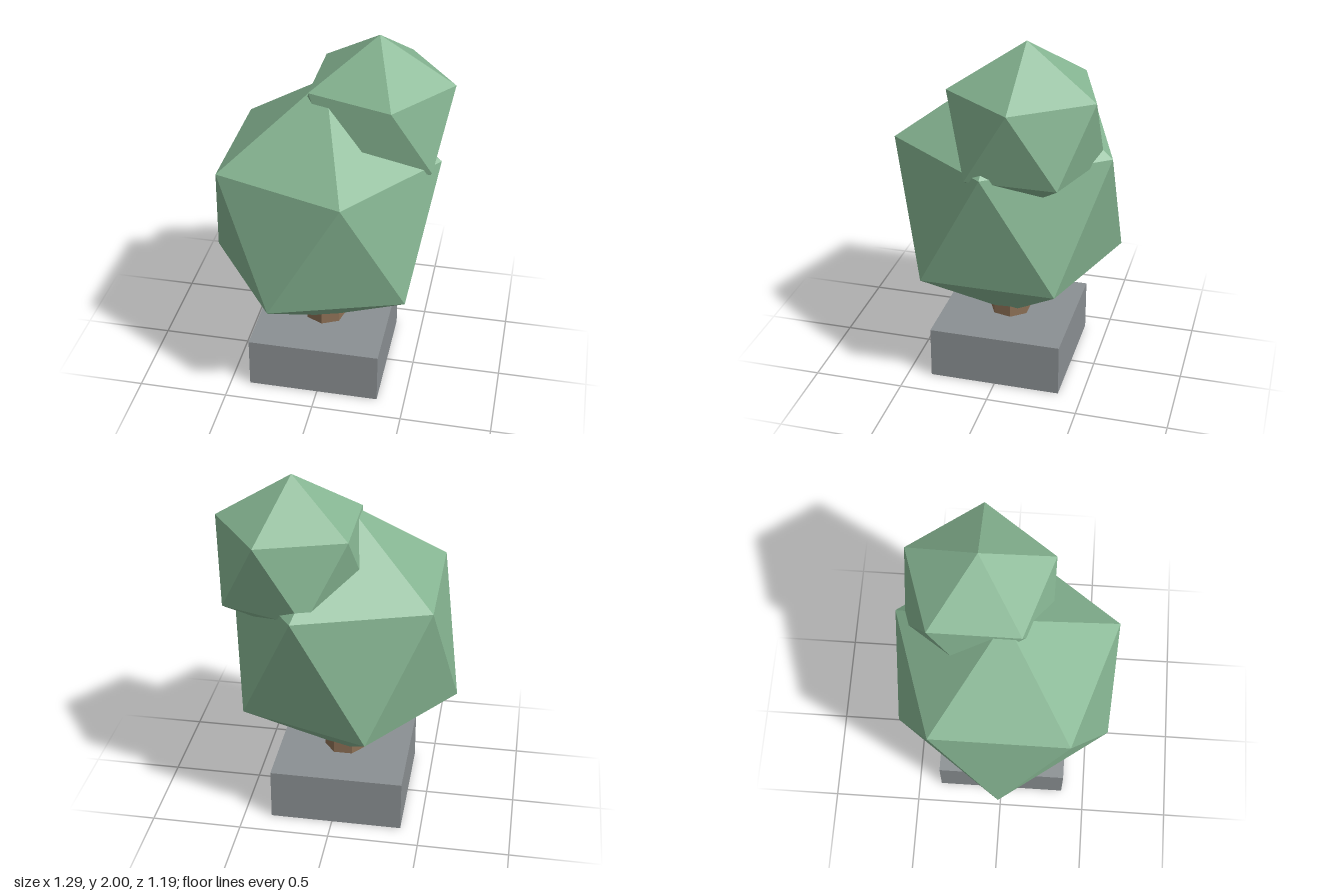
import * as THREE from 'three';

const mat = (name, color, flatShading = true) => {
  const m = new THREE.MeshStandardMaterial({ color, flatShading });
  m.name = name;
  return m;
};

export function createModel() {
  const leafGreen = mat('leafGreen', 0x86b592);
  const barkBrown = mat('barkBrown', 0x8c7055);
  const stoneGrey = mat('stoneGrey', 0x8b9093);

  const tree = new THREE.Group();
  tree.name = 'pottedTree';

  const add = (name, geometry, material, x, y, z) => {
    const mesh = new THREE.Mesh(geometry, material);
    mesh.name = name;
    mesh.position.set(x, y, z);
    tree.add(mesh);
  };

  // Icosahedron standing on one corner, with an upper corner pointing to +x
  const crown = (ringRadius, halfHeight) => {
    const golden = (1 + Math.sqrt(5)) / 2;
    const r = ringRadius * Math.sqrt(5) / 2;
    return new THREE.IcosahedronGeometry(r, 0)
      .rotateX(-Math.atan(golden))
      .rotateY(Math.PI / 2)
      .scale(1, halfHeight / r, 1);
  };

  // Square planter block, a hair above the trunk's foot
  const potHeight = 0.293;
  add('planter', new THREE.BoxGeometry(0.735, potHeight, 0.735), stoneGrey, -0.022, 0.002 + potHeight / 2, 0);

  // Seven-sided trunk running from the ground into the foliage
  add('trunk', new THREE.CylinderGeometry(0.118, 0.118, 0.8, 7), barkBrown, -0.022, 0.4, 0);

  // Large crown and the smaller one leaning on its shoulder
  add('lowerCrown', crown(0.625, 0.766), leafGreen, -0.022, 1.033, 0);
  add('upperCrown', crown(0.408, 0.452), leafGreen, 0.235, 1.548, -0.15);

  return tree;
}
